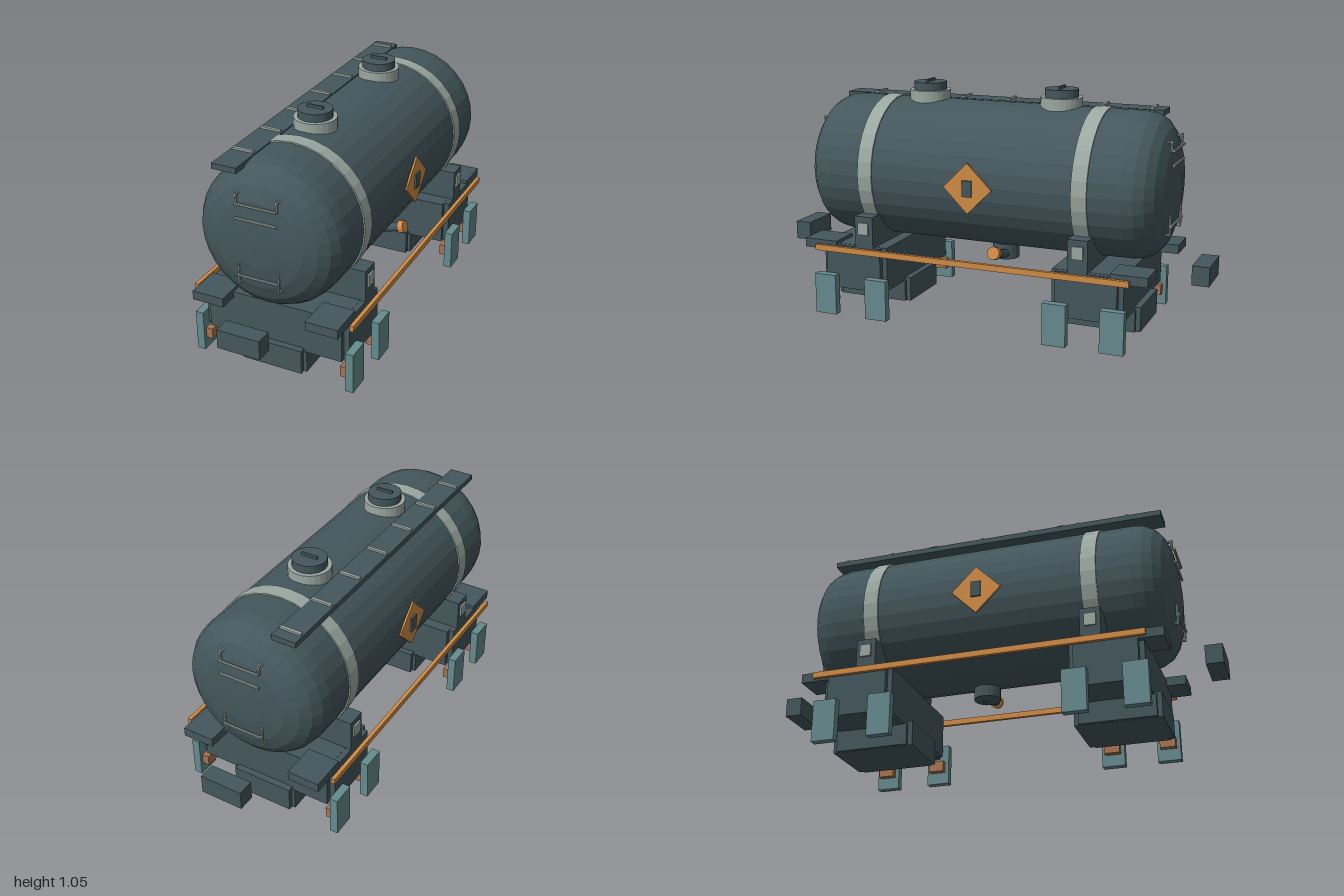
import * as THREE from 'three';

const mat = (name, color) => {
  const m = new THREE.MeshStandardMaterial({ color, flatShading: true });
  m.name = name;
  return m;
};

export function createModel() {
  const root = new THREE.Group();
  root.name = 'tankWagon';
  const dark = mat('dark slate', 0x44575d);
  const grey = mat('pale grey', 0x9ba8a2);
  const teal = mat('teal', 0x668b8f);
  const orange = mat('orange', 0xd08c45);
  const rust = mat('rust brown', 0xa87450);

  const add = (name, geo, material, x = 0, y = 0, z = 0) => {
    const mesh = new THREE.Mesh(geo, material);
    mesh.name = name;
    mesh.position.set(x, y, z);
    root.add(mesh);
    return mesh;
  };
  // Box given by its two limits on each axis
  const box = (name, m, x0, x1, y0, y1, z0, z1) =>
    add(name, new THREE.BoxGeometry(Math.abs(x1 - x0), y1 - y0, Math.abs(z1 - z0)), m,
      (x0 + x1) / 2, (y0 + y1) / 2, (z0 + z1) / 2);
  // Round bar between two points
  const bar = (name, m, a, b, r, sides = 8) => {
    const p = new THREE.Vector3(...a), q = new THREE.Vector3(...b);
    const mesh = add(name, new THREE.CylinderGeometry(r, r, p.distanceTo(q), sides), m);
    mesh.position.copy(p).lerp(q, 0.5);
    mesh.quaternion.setFromUnitVectors(new THREE.Vector3(0, 1, 0), q.sub(p).normalize());
  };

  // Tank with domed ends
  const tankY = 0.642;
  const half = [[0.32, 0.67], [0.312, 0.72], [0.29, 0.76], [0.25, 0.792], [0.19, 0.815], [0.1, 0.828], [0, 0.832]];
  const profile = [
    ...half.slice().reverse().map(([r, z]) => new THREE.Vector2(r, -z)),
    ...half.map(([r, z]) => new THREE.Vector2(r, z)),
  ];
  add('tank', new THREE.LatheGeometry(profile, 32).rotateX(Math.PI / 2), dark, 0, tankY, 0);

  // Bands round the tank
  for (const z of [-0.495, 0.495]) {
    const ring = [[0.31, -0.034], [0.326, -0.034], [0.326, 0.034], [0.31, 0.034]].map(p => new THREE.Vector2(...p));
    add('tankBand', new THREE.LatheGeometry(ring, 32).rotateX(Math.PI / 2), grey, 0, tankY, z);
  }

  // Filling hatches
  for (const z of [-0.307, 0.32]) {
    add('hatchCollar', new THREE.CylinderGeometry(0.092, 0.092, 0.06, 24), grey, 0, 0.97, z);
    add('hatchLid', new THREE.CylinderGeometry(0.074, 0.074, 0.036, 24), dark, 0, 1.017, z);
    box('hatchHandle', dark, -0.038, 0.038, 1.03, 1.047, z - 0.005, z + 0.005);
  }

  // Roof walkway with cleats
  box('walkway', dark, -0.205, -0.095, 0.926, 0.951, -0.735, 0.8);
  for (let i = 0; i < 7; i++) {
    const z = -0.68 + i * 0.2217;
    box('walkwayCleat', grey, -0.197, -0.103, 0.948, 0.96, z - 0.007, z + 0.007);
  }

  // Hazard diamonds
  for (const s of [-1, 1]) {
    const diamond = add('hazardDiamond', new THREE.BoxGeometry(0.009, 0.157, 0.157), orange, s * 0.3215, 0.632, 0);
    diamond.rotation.x = Math.PI / 4;
    box('diamondMark', dark, s * 0.325, s * 0.334, 0.597, 0.668, -0.022, 0.022);
  }

  // Long side rails
  for (const s of [-1, 1]) box('sideRail', orange, s * 0.353, s * 0.37, 0.295, 0.321, -0.73, 0.73);

  for (const e of [-1, 1]) {
    const zb = e > 0 ? 0.557 : -0.537; // bogie centre
    const span = (name, hx, y0, y1, hz) => box(name, dark, -hx, hx, y0, y1, zb - hz, zb + hz);

    // Bogie body and hanging equipment box
    span('bogieBody', 0.335, 0.12, 0.32, 0.135);
    span('bogieCore', 0.31, 0.121, 0.321, 0.157);
    span('bogieBox', 0.153, 0.028, 0.125, 0.165);
    span('bogieBoxCore', 0.138, 0.027, 0.137, 0.186);

    // Saddle under the tank
    box('saddle', dark, -0.335, 0.335, 0.3, 0.462, e * 0.455, e * 0.543);

    for (const s of [-1, 1]) {
      // Saddle side plates and corner steps
      box('saddlePlate', grey, s * 0.334, s * 0.343, 0.38, 0.435, e * 0.475, e * 0.525);
      box('cornerStep', dark, s * 0.19, s * 0.335, 0.294, 0.335, e * 0.64, e * 0.8);

      // Wheel plates and brake blocks
      for (const d of [-1, 1]) {
        const z = zb + d * 0.126;
        box('wheelPlate', teal, s * 0.336, s * 0.372, 0, 0.185, z - 0.052, z + 0.052);
        box('brakeBlock', rust, s * 0.305, s * 0.338, 0.053, 0.102, z - 0.035, z + 0.035);
      }

      // End ladder uprights
      bar('ladderUpright', grey, [s * 0.09, 0.45, e * 0.824], [s * 0.09, 0.545, e * 0.824], 0.006);
      bar('ladderUpright', grey, [s * 0.09, 0.81, e * 0.82], [s * 0.09, 0.858, e * 0.82], 0.006);
      for (const y of [0.455, 0.85])
        bar('ladderBracket', grey, [s * 0.09, y, e * 0.79], [s * 0.09, y, e * 0.826], 0.006);
    }

    // End ladder rungs
    for (const y of [0.495, 0.752, 0.815])
      bar('ladderRung', grey, [-0.092, y, e * 0.83], [0.092, y, e * 0.83], 0.006);

    // Coupling block at the very end
    box('couplingBlock', dark, -0.096, 0.096, 0.25, 0.335, e * 0.925, e);
  }

  // Drain valve below the tank
  add('valveBody', new THREE.CylinderGeometry(0.06, 0.06, 0.07, 16), dark, 0.05, 0.305, -0.07);
  bar('valvePipe', dark, [0.06, 0.285, -0.085], [0.225, 0.33, -0.085], 0.02, 12);
  bar('valveCap', orange, [0.215, 0.327, -0.085], [0.242, 0.335, -0.085], 0.029, 12);

  return root;
}
